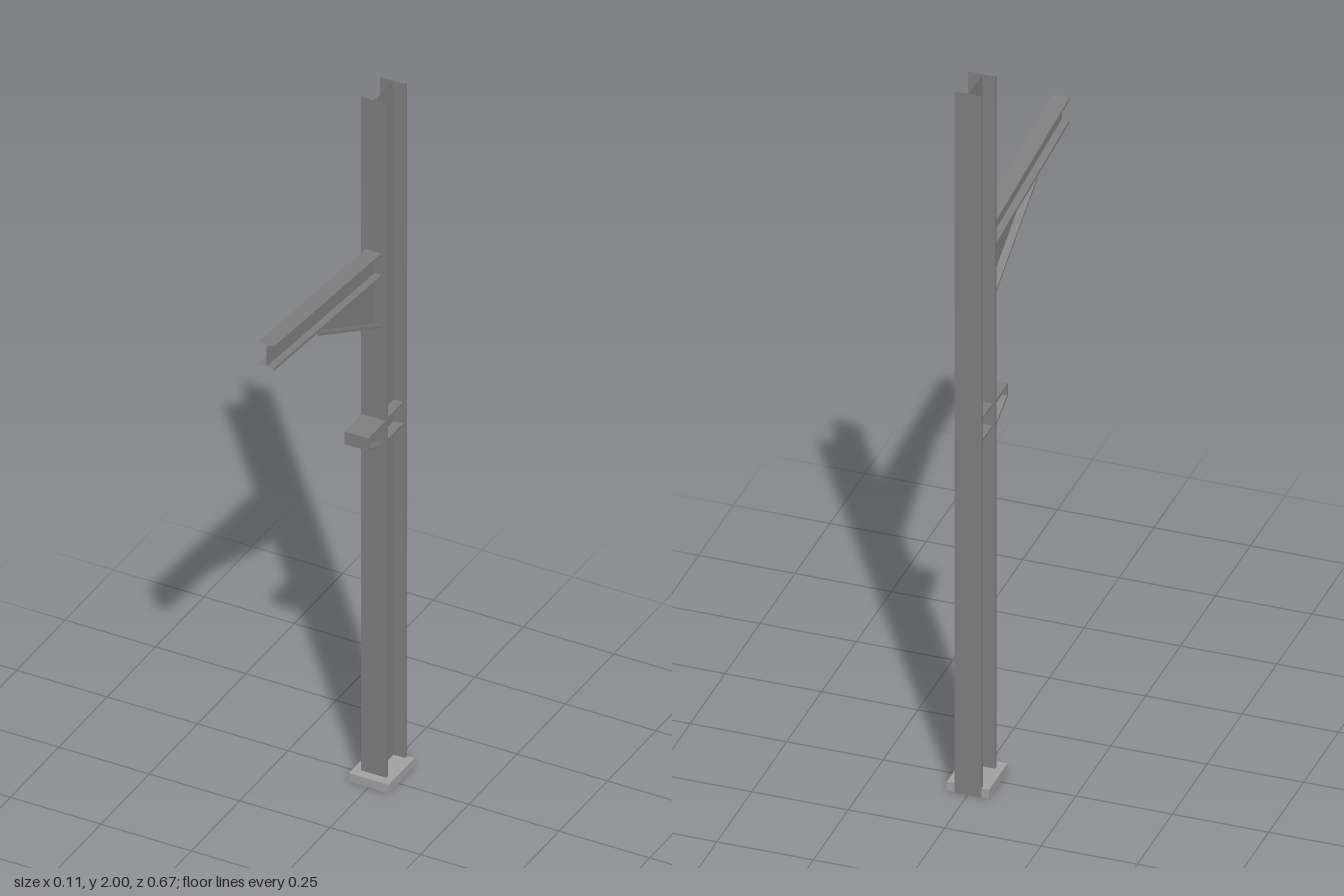
import * as THREE from 'three';

const steel = new THREE.MeshStandardMaterial({ color: 0x808080 });
steel.name = 'steel grey';
const plateGrey = new THREE.MeshStandardMaterial({ color: 0xa2a2a2 });
plateGrey.name = 'base plate grey';

// Removes the end faces (normals along one axis) so a rolled section stays open-ended
function openEnds(geometry, axis) {
  const src = geometry.index ? geometry.toNonIndexed() : geometry;
  const p = src.attributes.position;
  const n = src.attributes.normal;
  const pos = [];
  for (let i = 0; i < p.count; i += 3) {
    if (Math.abs(n.getComponent(i, axis)) > 0.999) continue;
    for (let k = i; k < i + 3; k++) pos.push(p.getX(k), p.getY(k), p.getZ(k));
  }
  const out = new THREE.BufferGeometry();
  out.setAttribute('position', new THREE.Float32BufferAttribute(pos, 3));
  out.computeVertexNormals();
  return out;
}

// Side profile given as [z, y] points, extruded across x and centred
function slab(points, width) {
  const shape = new THREE.Shape(points.map(([z, y]) => new THREE.Vector2(z, y)));
  const g = new THREE.ExtrudeGeometry(shape, { depth: width, bevelEnabled: false });
  return g.rotateY(-Math.PI / 2).translate(width / 2, 0, 0);
}

// Straight strip in side view: lower edge from a to b, thickened upward by t
const strip = (a, b, t, width) =>
  slab([a, b, [b[0], b[1] + t], [a[0], a[1] + t]], width);

function box(x0, x1, y0, y1, z0, z1) {
  return new THREE.BoxGeometry(x1 - x0, y1 - y0, z1 - z0)
    .translate((x0 + x1) / 2, (y0 + y1) / 2, (z0 + z1) / 2);
}

export function createModel() {
  const model = new THREE.Group();
  model.name = 'steelColumn';
  const group = (name) => {
    const g = new THREE.Group();
    g.name = name;
    model.add(g);
    return g;
  };
  const add = (parent, name, geometry, material = steel) => {
    const m = new THREE.Mesh(geometry, material);
    m.name = name;
    parent.add(m);
  };

  const back = -0.333, front = -0.225, ft = 0.01;

  // Base plate under the column
  add(model, 'basePlate', box(-0.055, 0.055, 0, 0.025, back, -0.2), plateGrey);

  // Column: I-section, open at both ends
  const column = group('column');
  const b = back - 0.0006;
  add(column, 'backFlange', openEnds(box(-0.035, 0.035, 0, 2, b, back + ft), 1));
  add(column, 'frontFlange', openEnds(box(-0.035, 0.035, 0, 2, front - ft, front), 1));
  add(column, 'web', openEnds(box(-0.003, 0.003, 0, 2, back + ft, front - ft), 1));

  // Stiffener plates inside the column, level with the bracket
  for (const y of [0.995, 1.058]) {
    for (const s of [-1, 1]) {
      const x0 = s < 0 ? -0.028 : 0.003;
      add(column, 'stiffener', box(x0, x0 + 0.025, y, y + 0.008, back + ft, front - ft));
    }
  }

  // Rising cantilever beam: I-section with vertical end cuts
  const beam = group('beam');
  const tip = 0.333, w = 0.044, t = 0.008;
  const lowRoot = 1.486, lowTip = 1.54, depth = 0.072;
  add(beam, 'bottomFlange', openEnds(strip([front, lowRoot], [tip, lowTip], t, w), 2));
  add(beam, 'topFlange',
    openEnds(strip([front, lowRoot + depth - t], [tip, lowTip + depth - t], t, w), 2));
  add(beam, 'web',
    openEnds(strip([front, lowRoot + t], [tip, lowTip + t], depth - 2 * t, 0.005), 2));

  // Tapered haunch under the beam
  const haunch = group('haunch');
  const apex = [0.105, 1.514];
  add(haunch, 'haunchWeb', slab([[front, 1.346], apex, [front, lowRoot]], 0.005));
  add(haunch, 'haunchFlange', openEnds(strip([front, 1.338], [apex[0], 1.51], t, w), 2));

  // Small bracket on the column front
  const bracket = group('bracket');
  const nose = -0.137;
  add(bracket, 'topPlate', box(-0.033, 0.033, 1.06, 1.07, front, nose));
  add(bracket, 'nosePlate', box(-0.033, 0.033, 1.037, 1.06, nose - 0.008, nose));
  add(bracket, 'bottomPlate', strip([front, 0.992], [nose, 1.033], 0.009, 0.066));
  add(bracket, 'bracketWeb',
    slab([[front, 1], [nose - 0.008, 1.038], [nose - 0.008, 1.06], [front, 1.06]], 0.006));

  return model;
}
